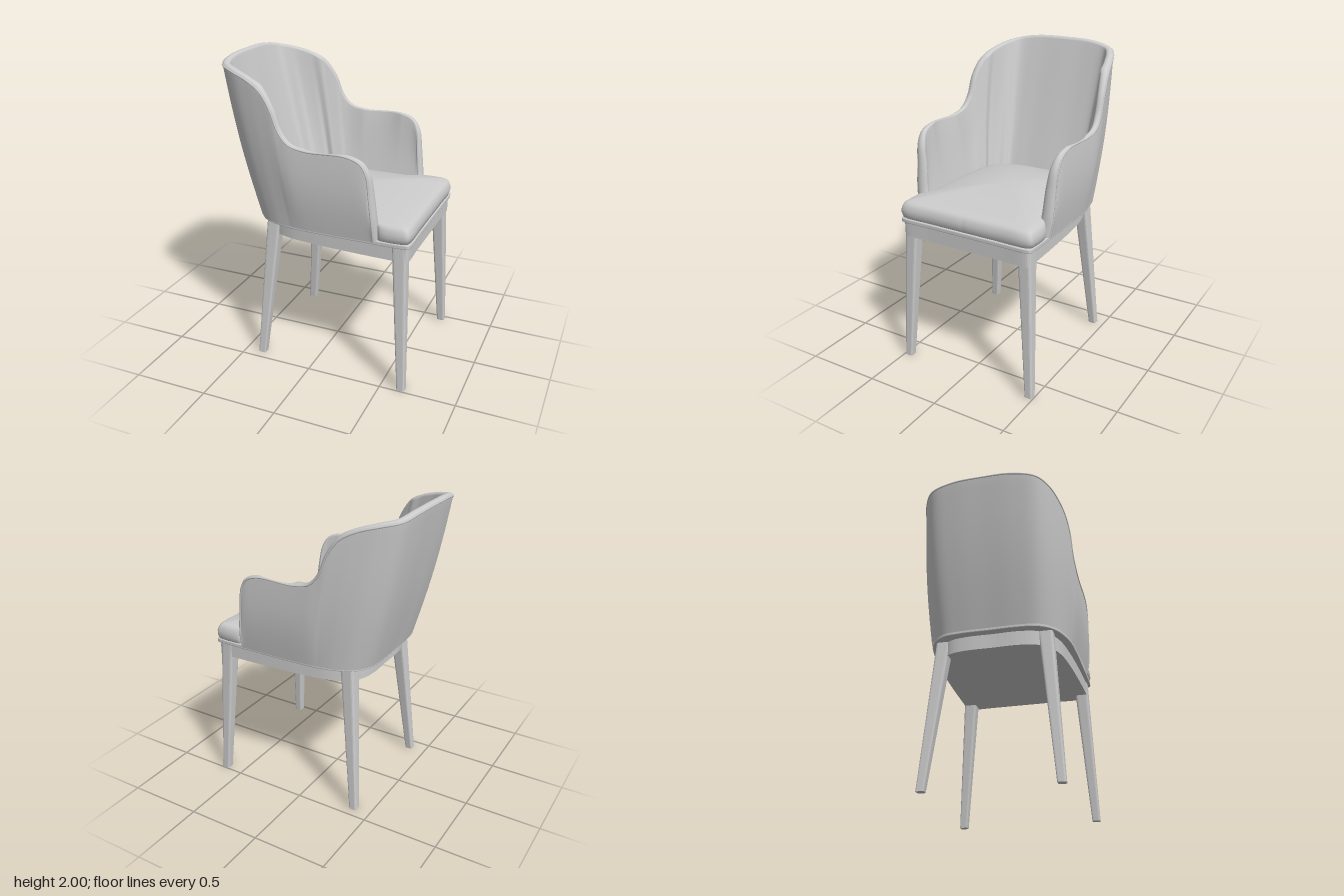
import * as THREE from 'three';

const material = new THREE.MeshStandardMaterial({ color: 0xcccccc, side: THREE.DoubleSide });
const V = (x, y, z) => new THREE.Vector3(x, y, z);

function addMesh(group, name, geometry) {
  const mesh = new THREE.Mesh(geometry, material);
  mesh.name = name;
  group.add(mesh);
  return mesh;
}

// Skin rows of points into a smooth surface
function skin(rows) {
  const n = rows[0].length, index = [];
  for (let i = 0; i < rows.length - 1; i++) {
    for (let j = 0; j < n - 1; j++) {
      const a = i * n + j, b = a + n;
      index.push(a, b, b + 1, a, b + 1, a + 1);
    }
  }
  const geometry = new THREE.BufferGeometry().setFromPoints(rows.flat());
  geometry.setIndex(index);
  geometry.computeVertexNormals();
  return geometry;
}

// Closed plan outline from half of its points, front centre to back centre
function outline(half) {
  const other = half.slice(1, -1).reverse().map(([x, z]) => [x, -z]);
  const points = [...half, ...other].map(([x, z]) => V(x, 0, z));
  return new THREE.CatmullRomCurve3(points, true).getPoints(160);
}

// Flat board with a plan outline
function board(half, y0, y1, bevel) {
  const shape = new THREE.Shape(outline(half).slice(0, -1).map(p => new THREE.Vector2(p.x, -p.z)));
  const geometry = new THREE.ExtrudeGeometry(shape, {
    depth: y1 - y0 - 2 * bevel, bevelEnabled: bevel > 0, bevelSize: bevel,
    bevelThickness: bevel, bevelOffset: -bevel, bevelSegments: 2,
  });
  return geometry.rotateX(-Math.PI / 2).translate(0, y0 + bevel, 0);
}

// Back and arm shell, half of it from back centre to arm front:
// bottom x, z; rim x, y, z; thickness at rim and at bottom
const SHELL = [
  [-.43, 0, -.66, 1.985, 0, .05, .10],
  [-.43, .18, -.655, 1.98, .2, .05, .10],
  [-.41, .31, -.62, 1.957, .35, .05, .10],
  [-.33, .40, -.52, 1.935, .42, .05, .10],
  [-.24, .44, -.40, 1.90, .46, .05, .09],
  [-.17, .455, -.30, 1.845, .485, .05, .09],
  [-.13, .46, -.23, 1.75, .50, .045, .085],
  [-.10, .465, -.175, 1.62, .505, .04, .08],
  [-.06, .47, -.11, 1.55, .51, .035, .08],
  [0, .475, 0, 1.523, .51, .03, .08],
  [.26, .48, .26, 1.523, .51, .03, .08],
  [.35, .48, .35, 1.49, .51, .04, .08],
  [.39, .48, .39, 1.42, .508, .055, .08],
  [.41, .48, .405, 1.3, .505, .07, .08],
  [.425, .48, .425, 1.12, .50, .08, .08],
  [.43, .48, .432, 1.01, .483, .08, .08],
];

function buildShell(group) {
  const all = [
    ...SHELL.slice(1).reverse().map(([a, b, c, d, e, f, g]) => [a, -b, c, d, -e, f, g]),
    ...SHELL,
  ];
  const curve = pick => new THREE.CatmullRomCurve3(all.map(pick));
  const bottom = curve(r => V(r[0], 1, r[1]));
  const rim = curve(r => V(r[2], r[3], r[4]));
  const thickness = curve(r => V(r[5], r[6], 0));
  const rows = [], COLS = 180, STEPS = 14;
  for (let i = 0; i <= COLS; i++) {
    const u = i / COLS;
    const foot = bottom.getPoint(u), top = rim.getPoint(u), thick = thickness.getPoint(u);
    const t = bottom.getTangent(u);
    const out = V(-t.z, 0, t.x).normalize();
    const edge = out.clone().cross(rim.getTangent(u)).normalize();
    const height = top.y - 1;
    // the outer skin swells slightly between seat and rim
    const outer = v => foot.clone().lerp(top, v)
      .addScaledVector(out, .018 * Math.min(1, height * 2) * Math.sin(Math.PI * v));
    const inner = v => outer(v)
      .addScaledVector(out, -(thick.x + (thick.y - thick.x) * (1 - v * v)));
    const row = [];
    for (let k = 0; k <= STEPS; k++) row.push(outer(k / STEPS));
    // rounded rim
    const h = thick.x / 2, mid = top.clone().addScaledVector(out, -h);
    for (let k = 1; k < 8; k++) {
      const a = Math.PI * k / 8;
      row.push(mid.clone().addScaledVector(out, h * Math.cos(a))
        .addScaledVector(edge, Math.min(h * .7, .024) * Math.sin(a)));
    }
    for (let k = STEPS; k >= 0; k--) row.push(inner(k / STEPS));
    rows.push(row);
  }
  addMesh(group, 'backAndArmShell', skin(rows));
  addMesh(group, 'rimPiping', new THREE.TubeGeometry(rim, 200, .006, 6));
}

function buildCushion(group) {
  const plan = outline([
    [.655, 0], [.655, .25], [.655, .43], [.64, .47], [.60, .48], [.49, .48], [.46, .47],
    [.43, .435], [.3, .43], [0, .425], [-.15, .41], [-.27, .37], [-.35, .27], [-.38, .12], [-.38, 0],
  ]);
  // edge roll, then a gentle crown
  const profile = [[.95, 1.005], [.985, 1.015], [1, 1.045], [.998, 1.07], [.985, 1.095], [.965, 1.11], [.94, 1.119]];
  for (let s = .85; s > -.01; s -= .085) profile.push([Math.max(s, 0), 1.119 + .051 * (1 - (s / .94) ** 2)]);
  const rows = profile.map(([s, y]) => plan.map(p => V(.1 + (p.x - .1) * s, y, p.z * s)));
  addMesh(group, 'seatCushion', skin(rows));
}

// Tapered splayed leg with rounded square section; foot and head are centres
function leg(foot, head, footSize, headSize) {
  const r = .5, c = .28, shape = new THREE.Shape();
  shape.moveTo(-c, -r).lineTo(c, -r).quadraticCurveTo(r, -r, r, -c)
    .lineTo(r, c).quadraticCurveTo(r, r, c, r)
    .lineTo(-c, r).quadraticCurveTo(-r, r, -r, c)
    .lineTo(-r, -c).quadraticCurveTo(-r, -r, -c, -r);
  const geometry = new THREE.ExtrudeGeometry(shape, { depth: 1, bevelEnabled: false, curveSegments: 4 });
  geometry.rotateX(-Math.PI / 2);
  const p = geometry.attributes.position;
  for (let i = 0; i < p.count; i++) {
    const v = p.getY(i), size = THREE.MathUtils.lerp(footSize, headSize, v);
    const centre = foot.clone().lerp(head, v);
    p.setXYZ(i, centre.x + p.getX(i) * size, centre.y, centre.z + p.getZ(i) * size);
  }
  geometry.computeVertexNormals();
  return geometry;
}

export function createModel() {
  const chair = new THREE.Group();
  chair.name = 'armchair';

  buildShell(chair);
  buildCushion(chair);

  // Seat board and the inset apron under it
  addMesh(chair, 'seatBoard', board([
    [.655, 0], [.655, .25], [.655, .44], [.645, .468], [.61, .475], [.3, .475], [0, .47],
    [-.17, .453], [-.33, .395], [-.405, .305], [-.425, .18], [-.425, 0],
  ], .985, 1.012, .005));
  addMesh(chair, 'apron', board([
    [.64, 0], [.64, .25], [.64, .44], [.63, .455], [.6, .455], [.3, .445], [0, .425],
    [-.17, .40], [-.28, .355], [-.345, .28], [-.37, .17], [-.37, 0],
  ], .89, .99, 0));

  // Legs, mirrored across the seat
  for (const side of [1, -1]) {
    const name = side > 0 ? 'left' : 'right';
    addMesh(chair, name + 'FrontLeg', leg(V(.637, 0, side * .468), V(.583, .988, side * .412), .052, .092));
    addMesh(chair, name + 'BackLeg', leg(V(-.38, 0, side * .42), V(-.29, .988, side * .335), .052, .092));
  }
  return chair;
}
